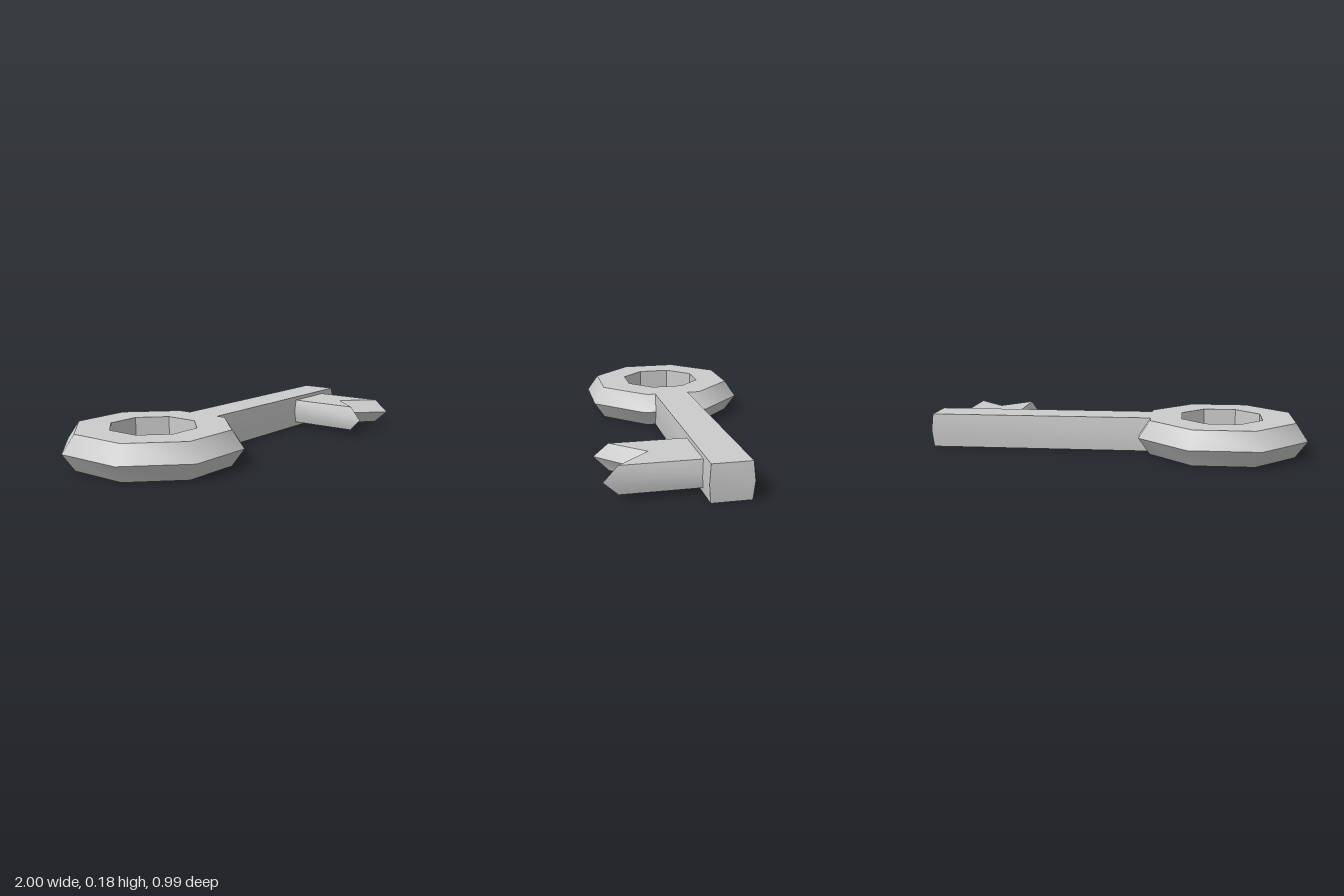
import * as THREE from 'three';
import { toCreasedNormals } from 'three/addons/utils/BufferGeometryUtils.js';

const CREASE = 0.7;
const material = new THREE.MeshStandardMaterial({ color: 0xcccccc });

// Solid through matching [x, z] outlines stacked at rising heights, capped at both ends
function stack(levels) {
  const pos = [];
  const at = (k, i) => {
    const { y, outline } = levels[k];
    const [x, z] = outline[i % outline.length];
    return [x, y, z];
  };
  const count = levels[0].outline.length, top = levels.length - 1;
  for (let k = 0; k < top; k++) {
    for (let i = 0; i < count; i++) {
      const a = at(k, i), b = at(k, i + 1), c = at(k + 1, i + 1), d = at(k + 1, i);
      pos.push(...a, ...d, ...c, ...a, ...c, ...b);
    }
  }
  const flat = (k) => THREE.ShapeUtils.triangulateShape(
    levels[k].outline.map(([x, z]) => new THREE.Vector2(x, z)), []);
  for (const [a, b, c] of flat(0)) pos.push(...at(0, a), ...at(0, b), ...at(0, c));
  for (const [a, b, c] of flat(top)) pos.push(...at(top, a), ...at(top, c), ...at(top, b));
  const geometry = new THREE.BufferGeometry();
  geometry.setAttribute('position', new THREE.Float32BufferAttribute(pos, 3));
  return toCreasedNormals(geometry, CREASE);
}

function part(name, geometry) {
  const mesh = new THREE.Mesh(geometry, material);
  mesh.name = name;
  return mesh;
}

export function createModel() {
  const key = new THREE.Group();
  key.name = 'key';

  // Octagonal ring handle with a pointed outer rim; profile is [apothem, height]
  const profile = [[0.21, 0], [0.373, 0], [0.432, 0.09], [0.373, 0.18], [0.21, 0.18], [0.21, 0]]
    .map(([r, y]) => new THREE.Vector2(r / Math.cos(Math.PI / 8), y));
  const ring = new THREE.LatheGeometry(profile, 8, Math.PI / 8);
  const bow = part('bow', toCreasedNormals(ring, CREASE));
  bow.position.set(-0.568, 0, -0.064);
  key.add(bow);

  // Shaft, its sides and tip bulging slightly at mid height
  const bar = (grow) => [
    [-0.197, -0.148 - grow], [0.99 + grow, -0.148 - grow],
    [0.99 + grow, 0.042 + grow], [-0.197, 0.042 + grow],
  ];
  key.add(part('shaft', stack([
    { y: 0, outline: bar(0) }, { y: 0.09, outline: bar(0.008) }, { y: 0.18, outline: bar(0) },
  ])));

  // Forked bit with pointed edges
  const fork = (left, right, tip, notch) => [
    [right, 0], [right, tip], [0.715, notch], [left, tip], [left, 0],
  ];
  const face = fork(0.565, 0.87, 0.42, 0.26);
  key.add(part('bit', stack([
    { y: 0.025, outline: face },
    { y: 0.092, outline: fork(0.542, 0.885, 0.49, 0.33) },
    { y: 0.16, outline: face },
  ])));

  return key;
}
